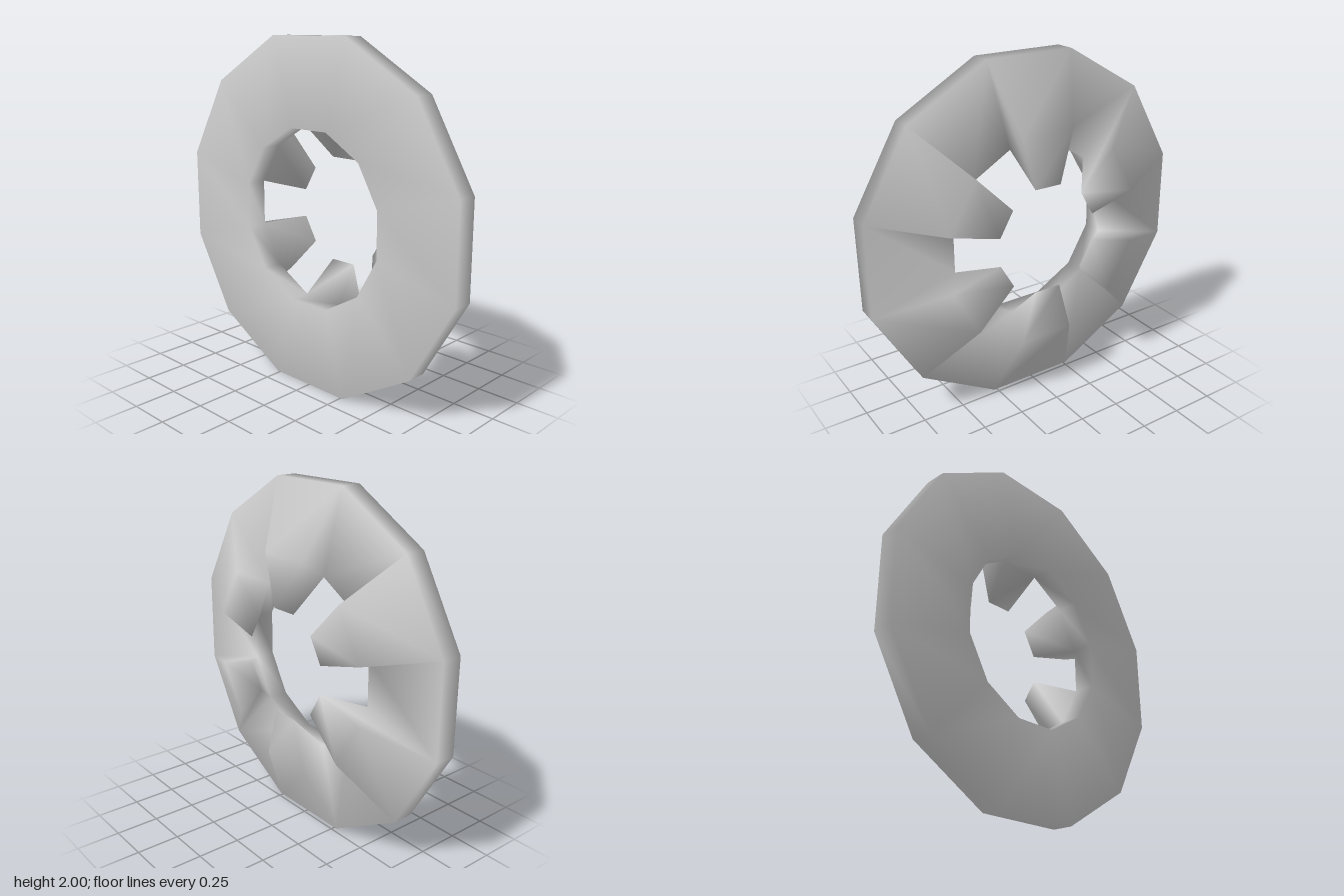
import * as THREE from 'three';

const SIDES = 12;
const CORNER = 1 / Math.cos(Math.PI / SIDES); // flat distance to corner radius

// Cross-section at each corner: [distance from axis to flat, z]
const SECTION = [
  [1.0, 0.145],   // 0 outer front
  [0.5, 0.145],   // 1 inner front
  [0.5, 0.025],   // 2 inner back
  [1.0, 0.025],   // 3 outer back
  [0.31, -0.145], // 4 tooth inner tip
  [0.61, -0.145], // 5 tooth outer tip
];

function toothedRingGeometry() {
  const positions = [];
  const index = [];
  const id = (corner, point) => (corner % SIDES) * SECTION.length + point;
  const quad = (a, b, c, d) => index.push(a, b, c, a, c, d);

  for (let k = 0; k < SIDES; k++) {
    const angle = ((k + 0.5) / SIDES) * Math.PI * 2;
    for (const [flat, z] of SECTION) {
      const r = flat * CORNER;
      positions.push(r * Math.cos(angle), r * Math.sin(angle), z);
    }
  }

  for (let k = 0; k < SIDES; k++) {
    const hasTooth = k % 2 === 0;
    // Closed loop round the section; every other side carries a tooth
    const loop = hasTooth ? [0, 1, 2, 4, 5, 3] : [0, 1, 2, 3];
    loop.forEach((p, i) => {
      const q = loop[(i + 1) % loop.length];
      quad(id(k, p), id(k + 1, p), id(k + 1, q), id(k, q));
    });
    // Tooth flanks
    if (hasTooth) {
      quad(id(k, 3), id(k, 2), id(k, 4), id(k, 5));
      quad(id(k + 1, 5), id(k + 1, 4), id(k + 1, 2), id(k + 1, 3));
    }
  }

  const geometry = new THREE.BufferGeometry();
  geometry.setAttribute('position', new THREE.Float32BufferAttribute(positions, 3));
  geometry.setIndex(index);
  geometry.computeVertexNormals(); // shared corners give soft shading
  return geometry;
}

export function createModel() {
  const group = new THREE.Group();
  group.name = 'toothedRing';

  // Twelve-sided ring with six tapered teeth on the back
  const ring = new THREE.Mesh(
    toothedRingGeometry(),
    new THREE.MeshStandardMaterial({ color: 0xcccccc })
  );
  ring.name = 'ringWithTeeth';
  ring.position.y = 1;
  group.add(ring);

  return group;
}
